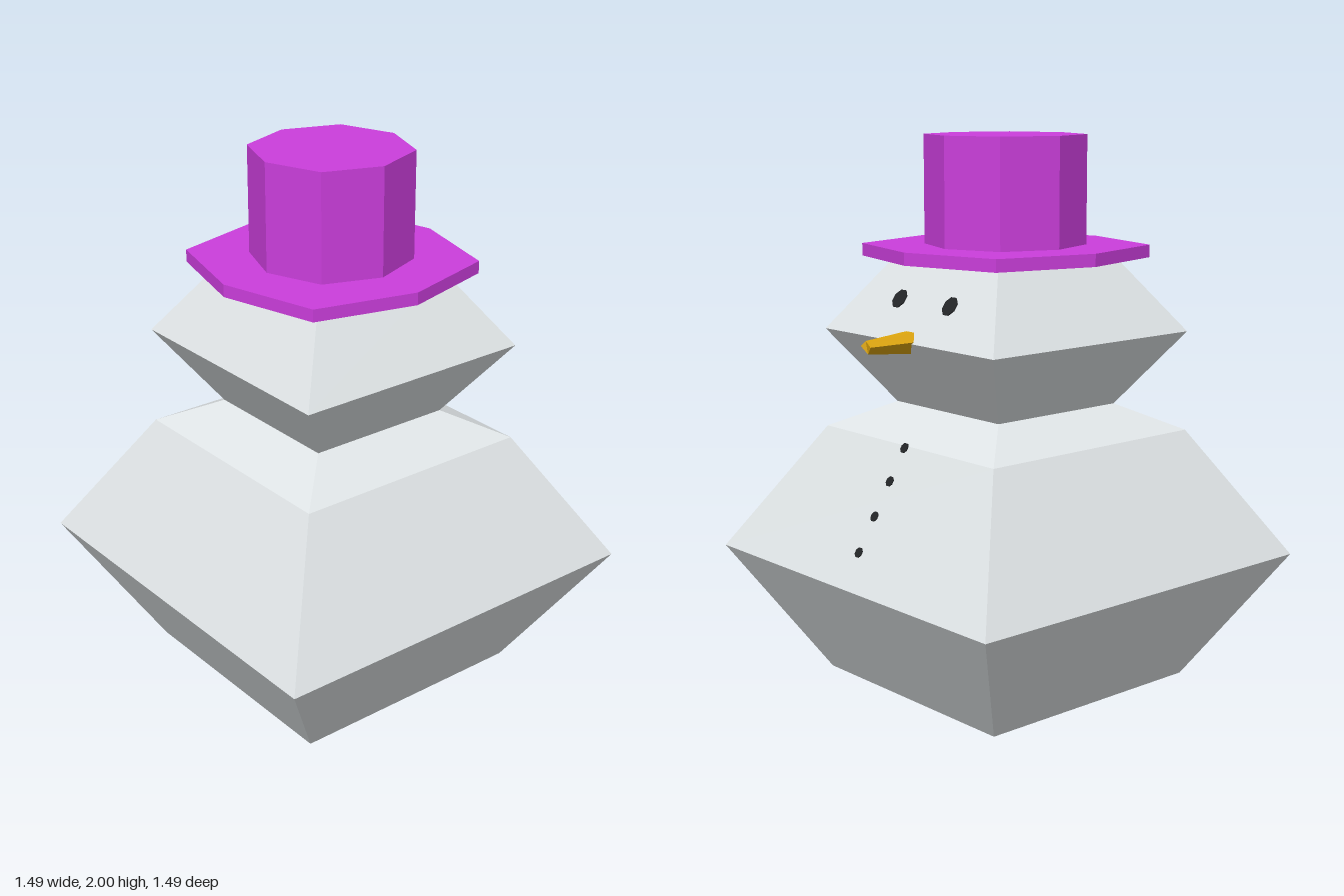
import * as THREE from 'three';

const mat = (name, color) => {
  const m = new THREE.MeshStandardMaterial({ color, flatShading: true });
  m.name = name;
  return m;
};

// Closed solid skinned over equal-length rings, each counterclockwise seen from the last ring's side
function loft(rings) {
  const pos = [];
  const tri = (...pts) => pts.forEach((p) => pos.push(...p));
  const n = rings[0].length;
  for (let r = 0; r < rings.length - 1; r++) {
    const a = rings[r], b = rings[r + 1];
    for (let i = 0; i < n; i++) {
      const j = (i + 1) % n;
      tri(a[i], a[j], b[j]);
      tri(a[i], b[j], b[i]);
    }
  }
  const first = rings[0], last = rings[rings.length - 1];
  for (let i = 1; i < n - 1; i++) {
    tri(first[0], first[i + 1], first[i]);
    tri(last[0], last[i], last[i + 1]);
  }
  const g = new THREE.BufferGeometry();
  g.setAttribute('position', new THREE.Float32BufferAttribute(pos, 3));
  g.computeVertexNormals();
  return g;
}

// Horizontal rings: a square by half width, an octagon by its axis and diagonal reach
const square = (h, y) => [[h, y, h], [h, y, -h], [-h, y, -h], [-h, y, h]];
const octagon = (r, d, y) => [
  [r, y, 0], [d, y, -d], [0, y, -r], [-d, y, -d],
  [-r, y, 0], [-d, y, d], [0, y, r], [d, y, d],
];

export function createModel() {
  const model = new THREE.Group();
  model.name = 'snowman';
  const snow = mat('snow', 0xdfe4e6);
  const purple = mat('purple felt', 0xcb3edc);
  const orange = mat('carrot', 0xdda50c);
  const coal = mat('coal', 0x222426);

  const add = (name, geometry, material) => {
    const m = new THREE.Mesh(geometry, material);
    m.name = name;
    model.add(m);
    return m;
  };

  // Faceted snow body and head
  add('body', loft([
    square(0.465, 0), square(0.746, 0.47), square(0.465, 0.935), square(0.28, 1.03),
  ]), snow);
  add('head', loft([square(0.28, 1.03), square(0.465, 1.298), square(0.28, 1.566)]), snow);

  // Octagonal top hat
  add('hatBrim', loft([octagon(0.462, 0.366, 1.565), octagon(0.462, 0.366, 1.61)]), purple);
  add('hatCrown', loft([octagon(0.282, 0.206, 1.61), octagon(0.282, 0.206, 2)]), purple);

  // Tapered five-sided nose pointing along +x, with a slightly notched tip
  const section = [[0.035, 0.022], [0.005, 0.048], [-0.043, 0], [0.005, -0.048], [0.035, -0.022]];
  const noseRing = (x, s, notch) =>
    section.map(([y, z]) => [x - (Math.abs(z) < 0.03 ? notch : 0), 1.3 + y * s, z * s]);
  add('nose', loft([noseRing(0.42, 1.03, 0), noseRing(0.632, 0.58, 0.01)]), orange);

  // Thin coal discs lying on the sloped +x faces
  const disc = (name, x, y, z, slope, width, height) => {
    const g = new THREE.CylinderGeometry(1, 1, 0.008, 8);
    g.rotateY(Math.PI / 8);
    const m = add(name, g, coal);
    m.scale.set(height / 2, 1, width / 2);
    m.rotation.z = slope - Math.PI / 2;
    m.position.set(x, y, z);
  };
  const headSlope = Math.atan2(0.185, 0.268);
  for (const side of [1, -1]) {
    disc(side > 0 ? 'leftEye' : 'rightEye', 0.465 - 0.185 * (0.132 / 0.268), 1.43, side * 0.138,
      headSlope, 0.068, 0.074);
  }
  const bodySlope = Math.atan2(0.281, 0.465);
  [0.588, 0.704, 0.818, 0.927].forEach((y, i) => {
    disc('button' + (i + 1), 0.746 - 0.281 * ((y - 0.47) / 0.465), y, 0, bodySlope, 0.036, 0.038);
  });

  return model;
}
